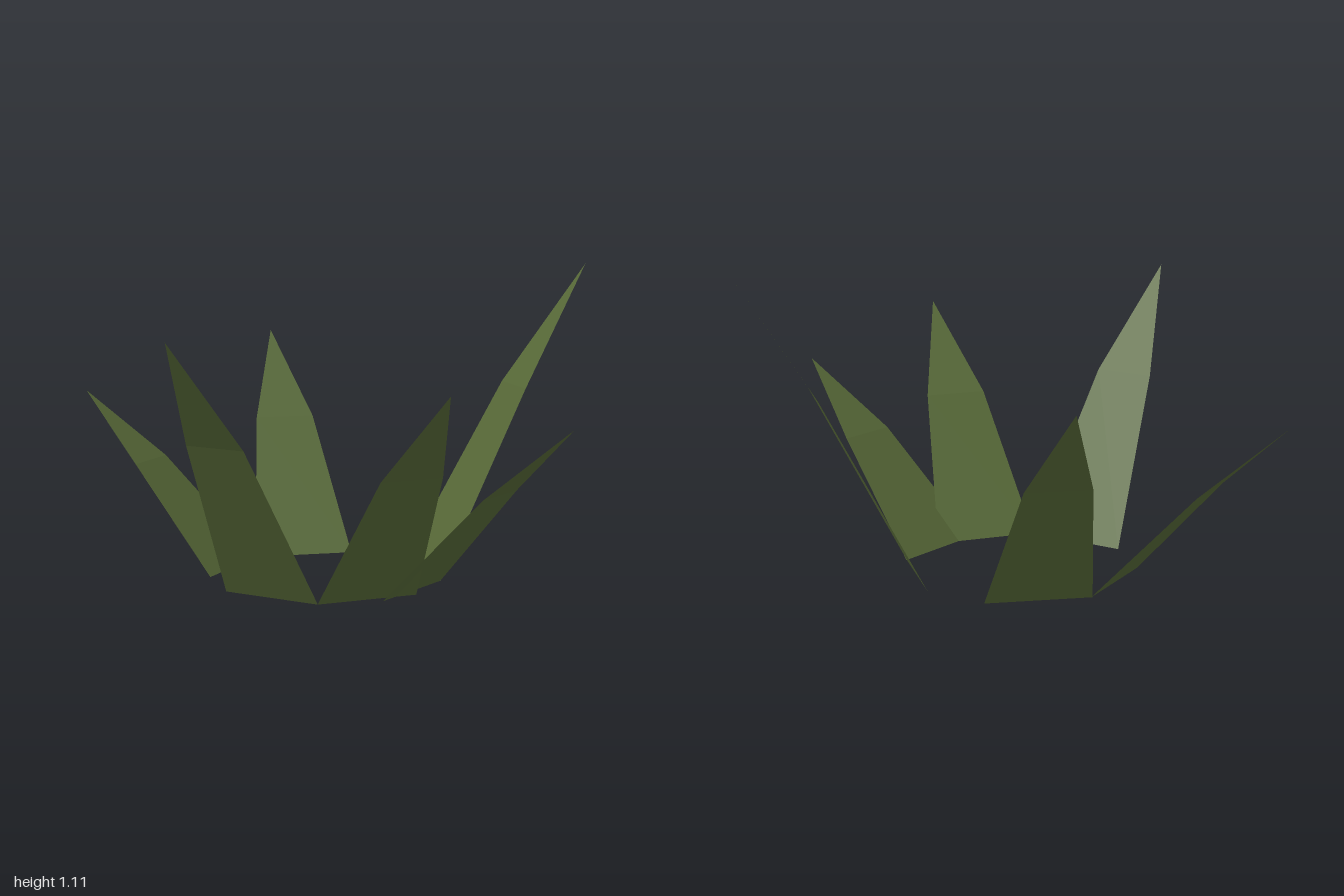
import * as THREE from 'three';

const leafGreen = new THREE.MeshStandardMaterial({ color: 0x566837, side: THREE.DoubleSide });
leafGreen.name = 'leafGreen';

// One leaf: a wide base, narrower middle and pointed tip, leaning out along +z.
function leafGeometry(height) {
  const ring = 0.372;
  const base = [0.186, 0, ring];
  const middle = [0.112, height * 0.605, ring + 0.35];
  const tip = [0, height, ring + 0.627];
  const mirror = ([x, y, z]) => [-x, y, z];
  const corners = [
    mirror(base), base, middle,
    mirror(base), middle, mirror(middle),
    mirror(middle), middle, tip,
  ].reverse().flat();
  const geometry = new THREE.BufferGeometry();
  geometry.setAttribute('position', new THREE.Float32BufferAttribute(corners, 3));
  geometry.computeVertexNormals();
  return geometry;
}

export function createModel() {
  const plant = new THREE.Group();
  plant.name = 'plant';

  // Name, direction in degrees (0 = front, 90 = +x) and height of each leaf
  const leaves = [
    ['frontLeaf', 5, 0.95],
    ['frontLeftLeaf', 58, 0.79],
    ['leftLeaf', 90, 0.63],
    ['backLeftLeaf', 142.5, 1.11],
    ['backRightLeaf', -132, 0.79],
    ['rightLeaf', -80, 0.62],
  ];
  for (const [name, degrees, height] of leaves) {
    const leaf = new THREE.Mesh(leafGeometry(height), leafGreen);
    leaf.name = name;
    leaf.rotation.y = THREE.MathUtils.degToRad(degrees);
    leaf.position.set(-0.005, 0, -0.105);
    plant.add(leaf);
  }
  return plant;
}
